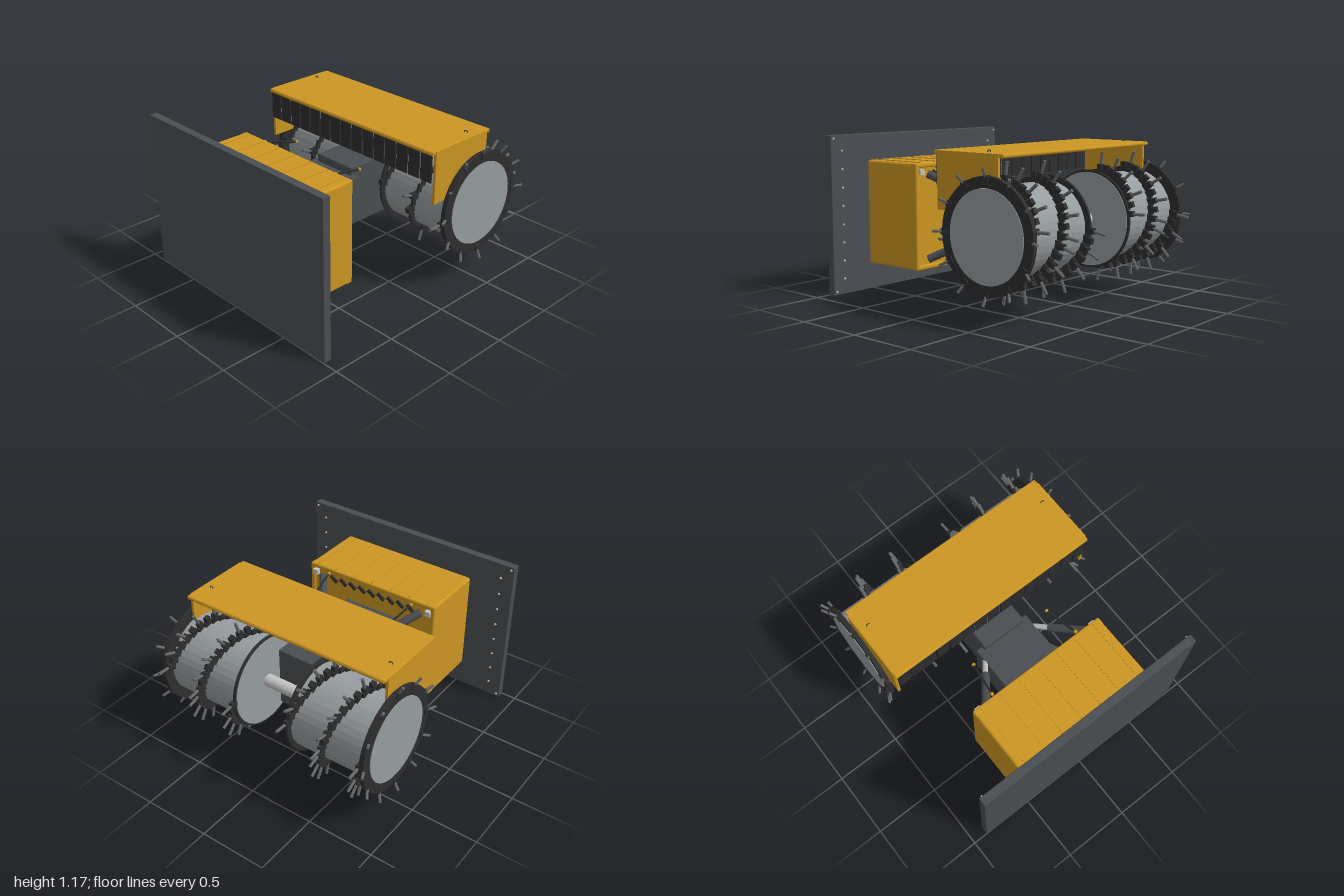
import * as THREE from 'three';
import { RoundedBoxGeometry } from 'three/addons/geometries/RoundedBoxGeometry.js';

const mat = (name, color) => {
  const m = new THREE.MeshStandardMaterial({ color });
  m.name = name;
  return m;
};

export function createModel() {
  const yellow = mat('yellow paint', 0xcc9622);
  const steel = mat('dark steel', 0x4a4e52);
  const black = mat('black steel', 0x2e2e2e);
  const grey = mat('drum grey', 0x979da0);
  const pickGrey = mat('pick grey', 0x66696b);
  const chrome = mat('bright rod', 0xc4c4c4);
  grey.flatShading = true;

  const model = new THREE.Group();
  const add = (parent, name, geo, material, x = 0, y = 0, z = 0) => {
    const m = new THREE.Mesh(geo, material);
    m.name = name;
    m.position.set(x, y, z);
    parent.add(m);
    return m;
  };
  // box given by its extents; r rounds the edges
  const box = (parent, name, material, x0, x1, y0, y1, z0, z1, r = 0) => {
    const s = [x1 - x0, y1 - y0, z1 - z0];
    const geo = r ? new RoundedBoxGeometry(...s, 2, r) : new THREE.BoxGeometry(...s);
    return add(parent, name, geo, material, (x0 + x1) / 2, (y0 + y1) / 2, (z0 + z1) / 2);
  };
  // cylinder between two points
  const rod = (parent, name, material, a, b, r, sides = 12) => {
    const p = new THREE.Vector3(...a), q = new THREE.Vector3(...b);
    const d = q.clone().sub(p);
    const m = add(parent, name, new THREE.CylinderGeometry(r, r, d.length(), sides), material);
    m.position.copy(p.add(q).multiplyScalar(0.5));
    m.quaternion.setFromUnitVectors(new THREE.Vector3(0, 1, 0), d.normalize());
    return m;
  };

  // Mounting plate and its bolts
  box(model, 'mountingPlate', steel, -0.89, 0.89, 0.005, 1.18, 0.94, 1, 0.006);
  const boltGeo = new THREE.SphereGeometry(0.009, 8, 6);
  for (const s of [-1, 1]) {
    for (let i = 0; i < 8; i++) add(model, 'plateBolt', boltGeo, chrome, s * 0.79, 0.12 + i * 0.135, 0.938);
    for (const y of [0.03, 1.155]) add(model, 'cornerBolt', boltGeo, chrome, s * 0.865, y, 0.938);
  }

  // Housing with a framed back and ribbed top
  const housing = new THREE.Group();
  housing.name = 'housing';
  model.add(housing);
  box(housing, 'housingBody', yellow, -0.55, 0.55, 0.205, 0.985, 0.44, 0.94, 0.02);
  box(housing, 'frameTop', yellow, -0.55, 0.55, 0.95, 0.985, 0.42, 0.48, 0.012);
  box(housing, 'frameBottom', yellow, -0.55, 0.55, 0.205, 0.24, 0.42, 0.48, 0.012);
  for (const s of [-1, 1]) {
    box(housing, 'frameSide', yellow, s * 0.532 - 0.018, s * 0.532 + 0.018, 0.205, 0.985, 0.42, 0.48, 0.012);
    box(housing, 'workLamp', chrome, s * 0.5 - 0.022, s * 0.5 + 0.022, 0.9, 0.94, 0.405, 0.442);
  }
  for (let i = -3; i <= 3; i++)
    box(housing, 'topRib', yellow, i * 0.162 - 0.007, i * 0.162 + 0.007, 0.98, 0.99, 0.44, 0.91);
  // slanted louvres along the back
  for (const y of [0.29, 0.9])
    for (let i = 0; i < 9; i++) {
      const m = add(housing, 'louvre', new THREE.BoxGeometry(0.07, 0.022, 0.02), black, (i - 4) * 0.085, y, 0.433);
      m.rotation.z = 0.6;
    }

  // Arm and gearbox
  box(model, 'arm', steel, -0.225, 0.225, 0.425, 0.765, 0.03, 0.46, 0.012);
  box(model, 'gearbox', steel, -0.175, 0.175, 0.365, 0.825, -0.45, 0.07, 0.01);

  // Hydraulic cylinders and hand rods
  for (const s of [-1, 1]) {
    for (const [y0, y1, y2] of [[0.905, 0.79, 0.735], [0.28, 0.395, 0.45]]) {
      rod(model, 'hydraulicBarrel', steel, [s * 0.435, y0, 0.42], [s * 0.285, y1, 0.22], 0.03, 16);
      rod(model, 'hydraulicRod', chrome, [s * 0.285, y1, 0.22], [s * 0.21, y2, 0.12], 0.02, 16);
    }
    const a = [s * 0.365, 0.955, 0.4], b = [s * 0.325, 0.89, 0.14];
    rod(model, 'hoseRod', black, a, b, 0.008, 8);
    for (const p of [a, b]) add(model, 'hoseEnd', new THREE.SphereGeometry(0.014, 12, 8), yellow, ...p);
  }

  // Hood with side plates, rolled edges, rubber flaps and lifting eyes
  const hood = new THREE.Group();
  hood.name = 'hood';
  model.add(hood);
  box(hood, 'hoodTop', yellow, -0.825, 0.825, 1.095, 1.12, -0.635, -0.04, 0.006);
  for (const z of [-0.05, -0.625]) rod(hood, 'rolledEdge', yellow, [-0.82, 1.105, z], [0.82, 1.105, z], 0.015);
  for (const s of [-1, 1]) {
    box(hood, 'hoodSide', yellow, s * 0.82 - 0.01, s * 0.82 + 0.01, 0.73, 1.118, -0.6, -0.07);
    const eye = add(hood, 'liftingEye', new THREE.TorusGeometry(0.013, 0.004, 6, 12), steel, s * 0.755, 1.122, -0.46);
    eye.name = 'liftingEye';
  }
  for (let i = 0; i < 15; i++) {
    const x = (i - 7) * 0.109;
    box(hood, 'rubberFlap', black, x - 0.049, x + 0.049, 0.89, 1.1, -0.055, -0.047);
  }

  // Cutting drums on a shared axle
  const cy = 0.595, cz = -0.53;
  rod(model, 'axle', chrome, [-0.3, cy, cz], [0.3, cy, cz], 0.047, 24);
  const disc = (parent, name, material, x0, x1, r) => {
    const m = add(parent, name, new THREE.CylinderGeometry(r, r, x1 - x0, 40), material, (x0 + x1) / 2, cy, cz);
    m.rotation.z = Math.PI / 2;
  };
  const holderGeo = new THREE.BoxGeometry(0.034, 0.05, 0.04);
  const stripGeo = new THREE.BoxGeometry(0.018, 0.04, 0.062);
  // angle is measured from the top, turning towards the back
  const polar = (x, r, deg) => {
    const t = THREE.MathUtils.degToRad(deg);
    return [x, cy + r * Math.cos(t), cz - r * Math.sin(t)];
  };
  const block = (parent, name, geo, x, r, deg) => {
    const m = add(parent, name, geo, black, ...polar(x, r, deg));
    m.rotation.x = -THREE.MathUtils.degToRad(deg);
  };

  for (const s of [-1, 1]) {
    const drum = new THREE.Group();
    drum.name = s > 0 ? 'leftDrum' : 'rightDrum';
    model.add(drum);
    const span = (name, m, a, b, r) => disc(drum, name, m, Math.min(s * a, s * b), Math.max(s * a, s * b), r);
    span('drumBody', grey, 0.23, 0.84, 0.31);
    span('innerFlange', black, 0.218, 0.236, 0.35);
    span('innerFace', grey, 0.213, 0.22, 0.335);
    span('outerFlange', black, 0.832, 0.866, 0.385);
    span('outerFace', grey, 0.86, 0.871, 0.31);

    // picks around the outer flange, leaning outwards
    for (let a = 0; a < 360; a += 30) {
      block(drum, 'flangeHolder', holderGeo, s * 0.858, 0.365, a);
      rod(drum, 'flangePick', pickGrey, polar(s * 0.862, 0.37, a), polar(s * 0.898, 0.44, a), 0.01, 8);
    }

    // two spiral flights carrying picks on the working side
    const start = s > 0 ? 0.23 : -0.82;
    for (let a = 0; a < 360; a += 10)
      for (const offset of [0, 0.3]) {
        const x = start + offset + ((((a - 90) / 360) * 0.6 + 0.6) % 0.3);
        block(drum, 'spiralFlight', stripGeo, x, 0.325, a);
        const working = (a >= 0 && a <= 190) || a === 260 || a === 280;
        if (!working) continue;
        block(drum, 'pickHolder', holderGeo, x, 0.355, a);
        if ((a + offset * 100) % 20 === 10 || a === 90)
          rod(drum, 'pick', pickGrey, polar(x, 0.36, a), polar(x, 0.468, a + 2), 0.011, 8);
      }
  }
  return model;
}
